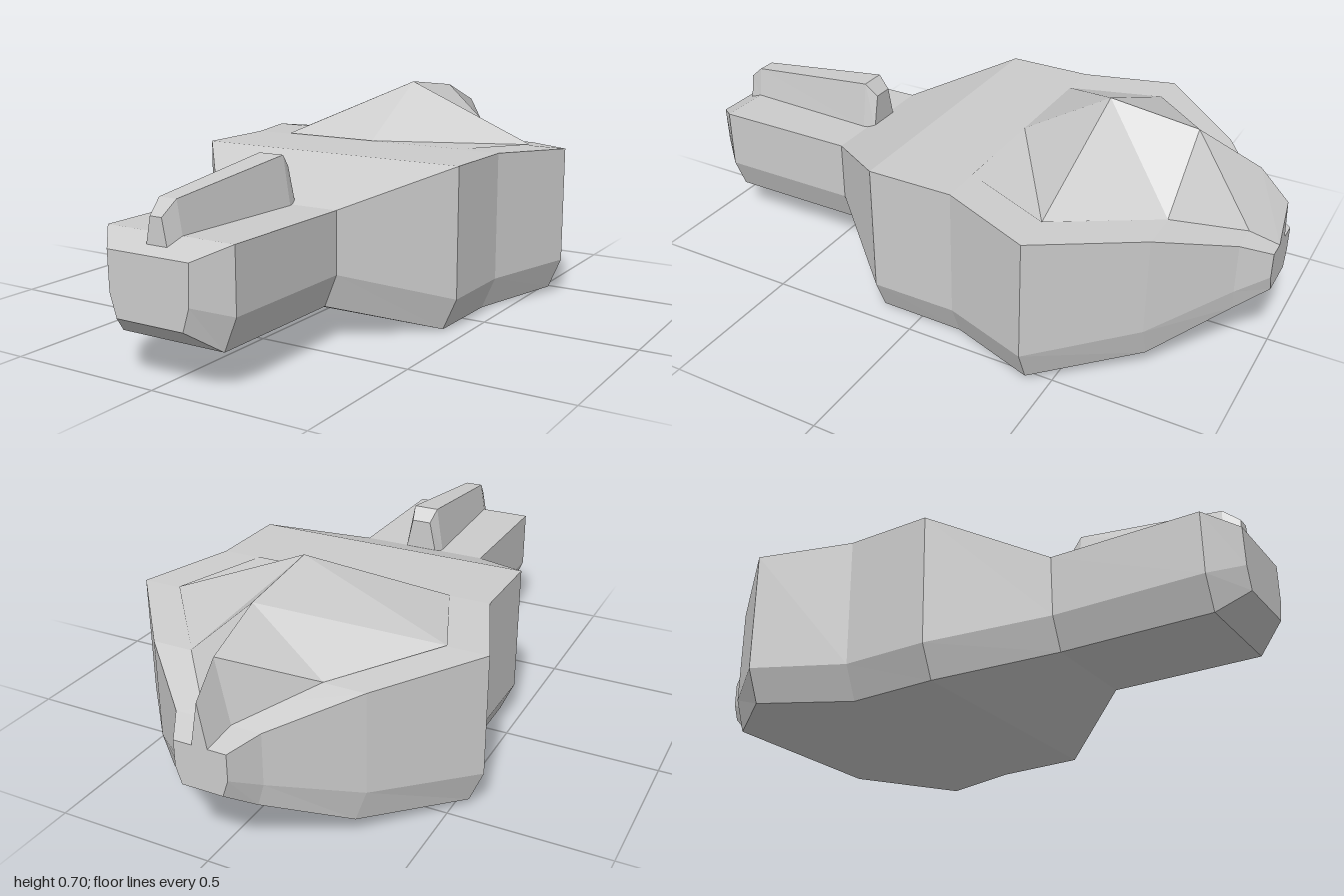
import * as THREE from 'three';

// Skin closed rings (counter-clockwise seen from +z, listed front to back) and cap both ends.
function loft(name, rings) {
  const pos = [];
  const tri = (...corners) => corners.forEach((p) => pos.push(...p));
  const n = rings[0].length;
  for (let i = 0; i < rings.length - 1; i++) {
    const a = rings[i], b = rings[i + 1];
    for (let j = 0; j < n; j++) {
      const k = (j + 1) % n;
      tri(a[j], b[j], a[k]);
      tri(a[k], b[j], b[k]);
    }
  }
  const first = rings[0], last = rings[rings.length - 1];
  for (let j = 1; j < n - 1; j++) {
    tri(first[0], first[j], first[j + 1]);
    tri(last[0], last[j + 1], last[j]);
  }
  const geometry = new THREE.BufferGeometry();
  geometry.setAttribute('position', new THREE.Float32BufferAttribute(pos, 3));
  geometry.computeVertexNormals();
  const mesh = new THREE.Mesh(geometry, new THREE.MeshStandardMaterial({ color: 0xcccccc, flatShading: true }));
  mesh.name = name;
  return mesh;
}

// Mirror the +x half of a section, listed bottom to top, into a full ring.
function mirrored(z, half) {
  const right = half.map(([x, y]) => [x, y, z]);
  const left = half.map(([x, y]) => [-x, y, z]).reverse();
  return [...right, ...left];
}

export function createModel() {
  const model = new THREE.Group();
  model.name = 'model';

  // Hull with long nose: z, then bottom, chine and deck corners
  const hull = [
    [1.0, [0.115, 0.18], [0.137, 0.25], [0.14, 0.37]],
    [0.91, [0.178, 0.112], [0.22, 0.215], [0.22, 0.41]],
    [0.43, [0.178, 0.112], [0.22, 0.215], [0.22, 0.41]],
    [0.14, [0.425, 0.003], [0.47, 0.105], [0.47, 0.52]],
    [-0.14, [0.425, 0.0], [0.47, 0.105], [0.47, 0.52]],
    [-0.43, [0.54, 0.018], [0.583, 0.12], [0.583, 0.505]],
    [-0.715, [0.31, 0.055], [0.345, 0.155], [0.345, 0.47]],
    [-0.91, [0.115, 0.165], [0.135, 0.235], [0.135, 0.395]],
    [-1.0, [0.065, 0.232], [0.083, 0.285], [0.083, 0.366]],
  ];
  model.add(loft('hull', hull.map(([z, ...half]) => mirrored(z, half))));

  // Ridged hump on the rear deck: z, base half width, base height, ridge height
  const hump = [
    [-0.14, 0.34, 0.522, 0.522],
    [-0.43, 0.455, 0.508, 0.7],
    [-0.715, 0.215, 0.472, 0.665],
    [-0.91, 0.042, 0.396, 0.59],
    [-1.0, 0.025, 0.366, 0.5],
  ];
  model.add(loft('rearHump', hump.map(([z, w, base, top]) => [[w, base, z], [0, top, z], [-w, base, z]])));

  // Tapered fin on the nose: z, base half width, base height, top half width, top height
  const fin = [
    [0.96, 0.036, 0.385, 0.02, 0.466],
    [0.91, 0.048, 0.405, 0.03, 0.508],
    [0.445, 0.068, 0.405, 0.043, 0.56],
    [0.405, 0.058, 0.405, 0.033, 0.52],
  ];
  model.add(loft('noseFin', fin.map(([z, w, base, tw, top]) => mirrored(z, [[w, base], [tw, top]]))));

  return model;
}
